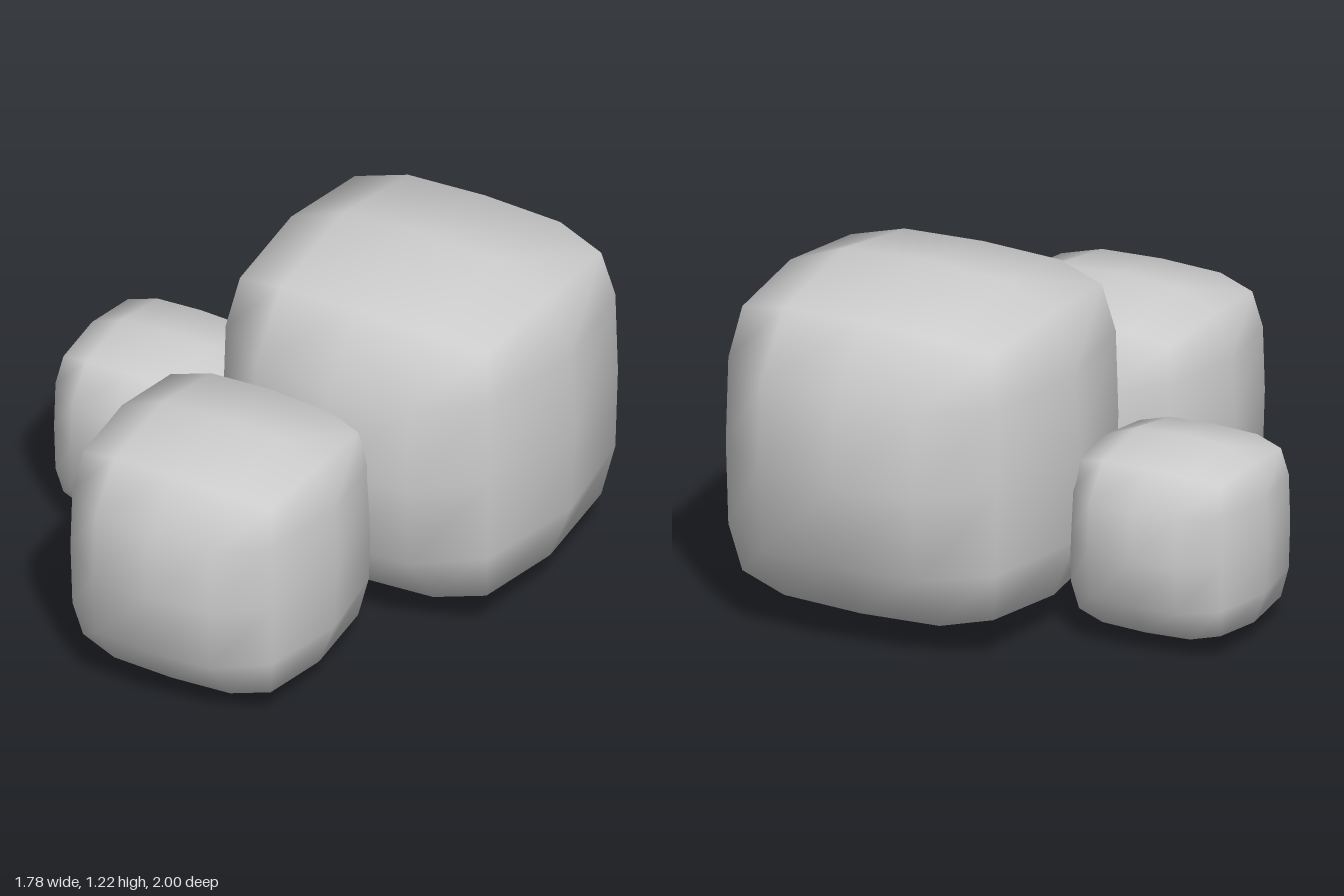
import * as THREE from 'three';
import { mergeVertices } from 'three/addons/utils/BufferGeometryUtils.js';

// Unit box whose faces bulge and whose edges and corners are pulled in
function softBlock() {
  const box = new THREE.BoxGeometry(2, 2, 2, 4, 4, 2);
  box.deleteAttribute('uv');
  box.deleteAttribute('normal');
  box.clearGroups();
  const geo = mergeVertices(box);
  const pos = geo.attributes.position;
  for (let i = 0; i < pos.count; i++) {
    const u = pos.getX(i), v = pos.getY(i), w = pos.getZ(i);
    const a = Math.abs(u) ** 2.5, b = Math.abs(v) ** 2.5, c = w * w;
    const a3 = Math.abs(u) ** 3, b3 = Math.abs(v) ** 3;
    // Each axis shrinks as the other two approach an edge
    const dx = 0.162 * b + 0.14 * c - 0.1 * b * c;
    const dy = 0.162 * a + 0.135 * c - 0.08 * a * c;
    const dz = 0.325 * (a3 + b3) - 0.25 * a3 * b3;
    pos.setXYZ(i, u * (1 - dx * u ** 4), v * (1 - dy * v ** 4), w * (1 - dz));
  }
  geo.computeVertexNormals();
  return geo;
}

export function createModel() {
  const group = new THREE.Group();
  group.name = 'boulderCluster';
  const stone = new THREE.MeshStandardMaterial({ color: 0xcccccc });
  stone.name = 'light grey stone';
  const geo = softBlock();

  // name, centre, half size
  const boulders = [
    ['largeBoulder', [0.294, 0.625, -0.378], [0.594, 0.599, 0.622]],
    ['mediumBoulder', [0.06, 0.458, 0.526], [0.452, 0.453, 0.473]],
    ['smallBoulder', [-0.56, 0.352, -0.159], [0.334, 0.336, 0.348]],
  ];
  for (const [name, centre, half] of boulders) {
    const mesh = new THREE.Mesh(geo, stone);
    mesh.name = name;
    mesh.position.set(...centre);
    mesh.scale.set(...half);
    group.add(mesh);
  }
  return group;
}
